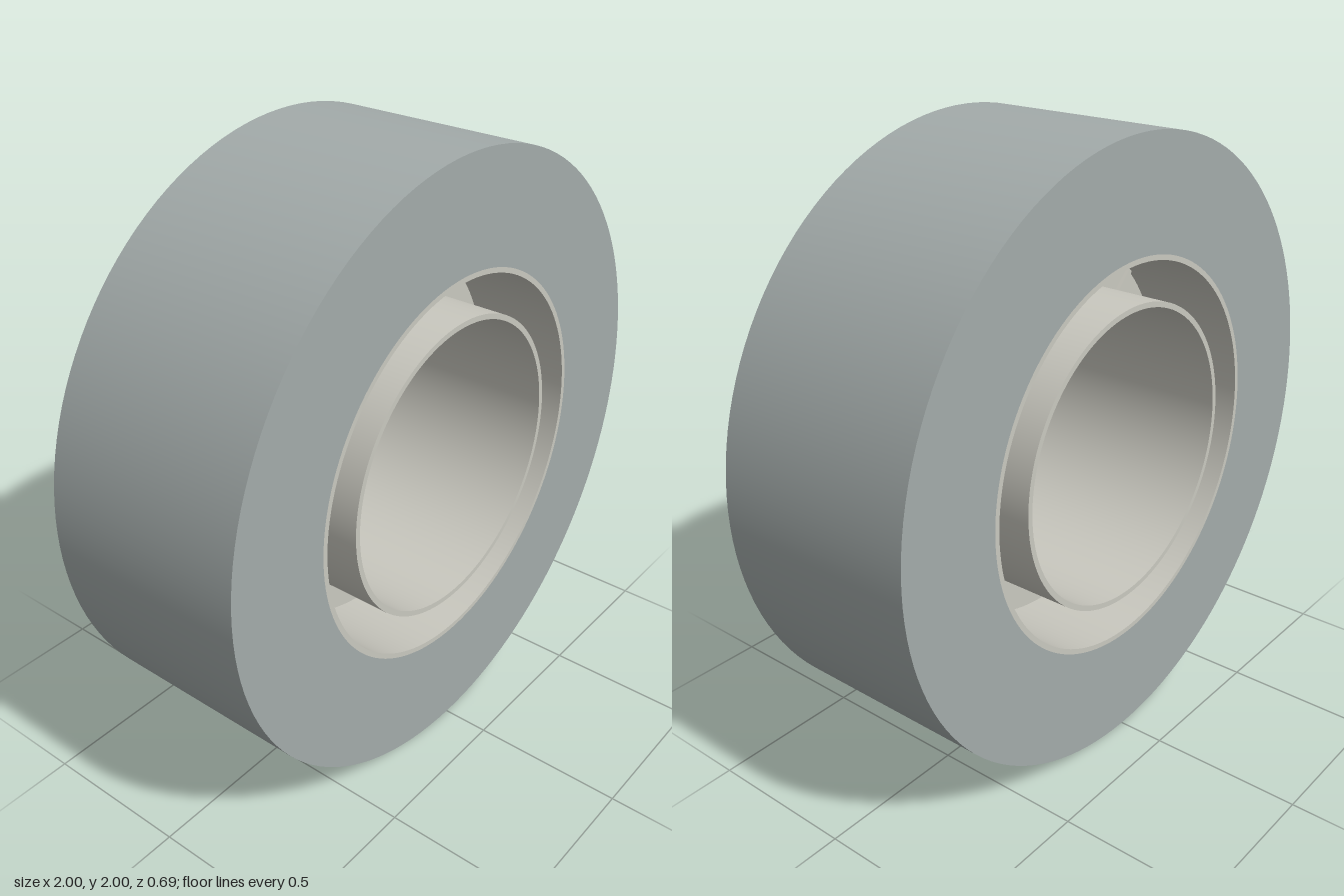
import * as THREE from 'three';
import { toCreasedNormals } from 'three/addons/utils/BufferGeometryUtils.js';

const HALF = 0.345;   // half width of the roll
const WEB = 0.01;     // half thickness of the hub web
const R = { outer: 1, core: 0.637, wall: 0.62, sleeve: 0.495, bore: 0.477 };

// Turns a closed (radius, z) profile around the z axis, keeping its edges sharp
function turned(name, profile, material) {
  const points = [...profile, profile[0]].map(([r, z]) => new THREE.Vector2(r, z));
  const geometry = toCreasedNormals(new THREE.LatheGeometry(points, 128), 0.5);
  geometry.rotateX(Math.PI / 2);
  const mesh = new THREE.Mesh(geometry, material);
  mesh.name = name;
  return mesh;
}

export function createModel() {
  const model = new THREE.Group();
  model.name = 'tapeRoll';
  const tapeMaterial = new THREE.MeshStandardMaterial({ color: 0xa3abaa });
  const hubMaterial = new THREE.MeshStandardMaterial({ color: 0xc9c8bf });

  // Wound tape
  model.add(turned('tape', [
    [R.outer, -HALF], [R.outer, HALF], [R.core, HALF], [R.core, -HALF],
  ], tapeMaterial));

  // Hub: outer wall and inner sleeve joined by a thin web at mid width
  const hub = new THREE.Group();
  hub.name = 'hub';
  hub.add(turned('hubBody', [
    [R.core, -HALF], [R.core, HALF], [R.wall, HALF], [R.wall, WEB],
    [R.sleeve, WEB], [R.sleeve, HALF], [R.bore, HALF],
    [R.bore, -HALF], [R.sleeve, -HALF], [R.sleeve, -WEB],
    [R.wall, -WEB], [R.wall, -HALF],
  ], hubMaterial));

  // Eight low radial ribs standing out on both sides of the web
  const ribGeometry = new THREE.BoxGeometry(R.wall - R.sleeve + 0.01, 0.018, 0.045);
  ribGeometry.translate((R.wall + R.sleeve) / 2, 0, 0);
  for (let i = 0; i < 8; i++) {
    const rib = new THREE.Mesh(ribGeometry, hubMaterial);
    rib.name = `rib${i + 1}`;
    rib.rotation.z = (i * Math.PI) / 4;
    hub.add(rib);
  }
  model.add(hub);

  // Stand the roll on the ground
  for (const part of model.children) part.position.y = R.outer;
  return model;
}
